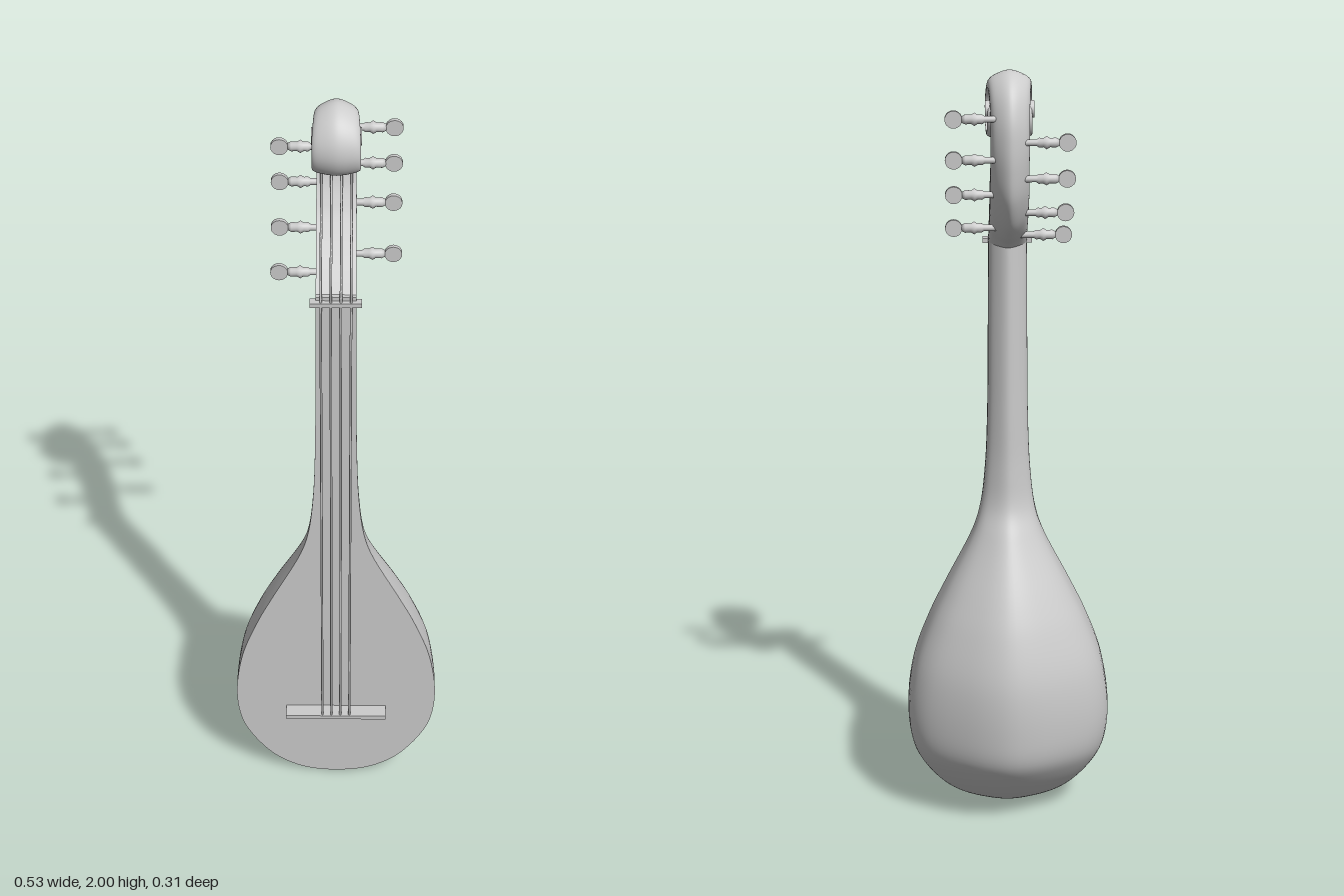
import * as THREE from 'three';
import { mergeGeometries } from 'three/addons/utils/BufferGeometryUtils.js';

const material = new THREE.MeshStandardMaterial({ color: 0xcccccc });
const V = (x, y, z) => new THREE.Vector3(x, y, z);

function addMesh(parent, name, geometry, x = 0, y = 0, z = 0) {
  const mesh = new THREE.Mesh(geometry, material);
  mesh.name = name;
  mesh.position.set(x, y, z);
  parent.add(mesh);
  return mesh;
}

// Grid surface through rows of points; rows go along, columns go around
function gridSurface(rows) {
  const n = rows[0].length, index = [];
  for (let i = 0; i < rows.length - 1; i++) {
    for (let j = 0; j < n - 1; j++) {
      const a = i * n + j, b = a + n;
      index.push(a, b, b + 1, a, b + 1, a + 1);
    }
  }
  const g = new THREE.BufferGeometry().setFromPoints(rows.flat());
  g.setIndex(index);
  g.computeVertexNormals();
  return g;
}

// Rounded-back, flat-front section: x is a share of half width, y of depth
const halfSection = [[1, 0], [1, 0.2], [0.975, 0.4], [0.89, 0.55], [0.755, 0.68], [0.49, 0.845], [0.24, 0.955]];
const section = new THREE.CatmullRomCurve3([
  ...halfSection.map(([x, d]) => V(-x, d, 0)),
  V(0, 1, 0),
  ...halfSection.slice().reverse().map(([x, d]) => V(x, d, 0)),
]).getPoints(40);

// Loft the section through frames { origin, out, width, depth }
function loft(frames) {
  const rows = frames.map((f) => section.map((s) =>
    f.origin.clone().addScaledVector(f.out, s.y * f.depth).add(V(s.x * f.width, 0, 0))));
  const flat = frames.map((f) => [f.width, -f.width].map((x) => f.origin.clone().add(V(x, 0, 0))));
  const end = rows[rows.length - 1];
  const cap = [end.map(() => frames[frames.length - 1].origin.clone()), end.map((p) => p.clone())].reverse();
  return mergeGeometries([gridSurface(rows), gridSurface(flat), gridSurface(cap)]);
}

// Bowl and neck in one loft: half width, height, depth
function bodyGeometry() {
  const profile = new THREE.CatmullRomCurve3([
    [0.005, 0, 0.01], [0.06, 0.006, 0.04], [0.11, 0.022, 0.08], [0.168, 0.06, 0.135], [0.228, 0.137, 0.211],
    [0.255, 0.2, 0.253], [0.265, 0.29, 0.268], [0.248, 0.42, 0.267], [0.205, 0.54, 0.238],
    [0.162, 0.63, 0.2], [0.09, 0.775, 0.118], [0.07, 0.845, 0.08], [0.058, 0.95, 0.069],
    [0.052, 1.1, 0.068], [0.05, 1.3, 0.068], [0.048, 1.56, 0.068],
  ].map((p) => V(...p)), false, 'centripetal');
  return loft(profile.getPoints(90).map((p) => ({
    origin: V(0, Math.max(p.y, 0), 0.113), out: V(0, 0, -1), width: p.x, depth: p.z,
  })));
}

// Pegbox curling into the scroll: z, y, thickness, half width
function headGeometry() {
  const stations = [
    [0.085, 1.54, 0.05, 0.048], [0.045, 1.578, 0.06, 0.048], [0, 1.612, 0.078, 0.048],
    [-0.045, 1.655, 0.09, 0.048], [-0.08, 1.71, 0.088, 0.048], [-0.1, 1.77, 0.074, 0.047],
    [-0.108, 1.83, 0.064, 0.047], [-0.103, 1.89, 0.06, 0.047], [-0.081, 1.944, 0.054, 0.049],
    [-0.042, 1.977, 0.045, 0.052], [0.003, 1.962, 0.036, 0.055], [0.032, 1.925, 0.028, 0.057],
    [0.037, 1.885, 0.024, 0.057], [0.02, 1.85, 0.021, 0.057], [-0.016, 1.836, 0.02, 0.056],
    [-0.052, 1.85, 0.019, 0.055], [-0.07, 1.88, 0.018, 0.054], [-0.064, 1.912, 0.016, 0.053],
    [-0.045, 1.918, 0.014, 0.052],
  ];
  const path = new THREE.CatmullRomCurve3(stations.map(([z, y]) => V(0, y, z)));
  const size = new THREE.CatmullRomCurve3(stations.map(([, , t, w]) => V(t, w, 0)));
  const frames = [];
  for (let i = 0; i <= 110; i++) {
    const u = i / 110, s = size.getPoint(u), t = path.getTangent(u);
    const out = V(0, t.z, -t.y);
    frames.push({ origin: path.getPoint(u).addScaledVector(out, -s.x / 2), out, width: s.y, depth: s.x });
  }
  return loft(frames);
}

// Tuning peg pointing along +x from the pegbox wall
function createPeg() {
  const peg = new THREE.Group();
  const shaft = new THREE.LatheGeometry([
    [0, 0], [0.008, 0], [0.008, 0.062], [0.012, 0.068], [0.011, 0.078], [0.016, 0.086],
    [0.011, 0.094], [0.012, 0.108], [0.008, 0.116], [0, 0.117],
  ].map(([r, h]) => new THREE.Vector2(r, h)), 16).rotateZ(-Math.PI / 2);
  addMesh(peg, 'pegShaft', shaft);
  const paddle = new THREE.CylinderGeometry(0.021, 0.021, 0.011, 20).rotateX(Math.PI / 2);
  addMesh(peg, 'pegPaddle', paddle, 0.136, 0, 0);
  return peg;
}

export function createModel() {
  const model = new THREE.Group();
  model.name = 'lute';
  addMesh(model, 'bodyAndNeck', bodyGeometry());
  addMesh(model, 'pegboxAndScroll', headGeometry());
  addMesh(model, 'scrollEye', new THREE.CylinderGeometry(0.021, 0.021, 0.118, 24).rotateZ(Math.PI / 2), 0, 1.906, -0.043);

  // Nut and bridge
  addMesh(model, 'nut', new THREE.BoxGeometry(0.124, 0.012, 0.022), 0, 1.545, 0.115);
  addMesh(model, 'bridge', new THREE.BoxGeometry(0.266, 0.012, 0.042), 0, 0.237, 0.133);

  // Four strings, straight to the nut and then bending into the pegbox
  for (const x of [-0.036, -0.012, 0.012, 0.036]) {
    const string = new THREE.CurvePath();
    string.add(new THREE.LineCurve3(V(x, 0.237, 0.148), V(x, 1.545, 0.123)));
    string.add(new THREE.CatmullRomCurve3([
      [1.545, 0.123], [1.6, 0.1], [1.66, 0.035], [1.74, -0.03], [1.82, -0.069], [1.88, -0.078],
    ].map(([y, z]) => V(x, y, z))));
    const parts = string.curves.map((c, i) => new THREE.TubeGeometry(c, i ? 24 : 1, 0.003, 6));
    addMesh(model, 'string', mergeGeometries(parts));
  }

  // Pegs: side, height, z
  const pegs = [
    [1, 1.894, -0.106], [1, 1.796, -0.109], [1, 1.705, -0.08], [1, 1.606, -0.009],
    [-1, 1.838, -0.112], [-1, 1.748, -0.102], [-1, 1.653, -0.05], [-1, 1.578, 0.03],
  ];
  for (const [side, y, z] of pegs) {
    const peg = createPeg();
    peg.name = side > 0 ? 'leftPeg' : 'rightPeg';
    peg.position.set(0, y, z);
    if (side < 0) peg.rotation.y = Math.PI;
    model.add(peg);
  }
  return model;
}
